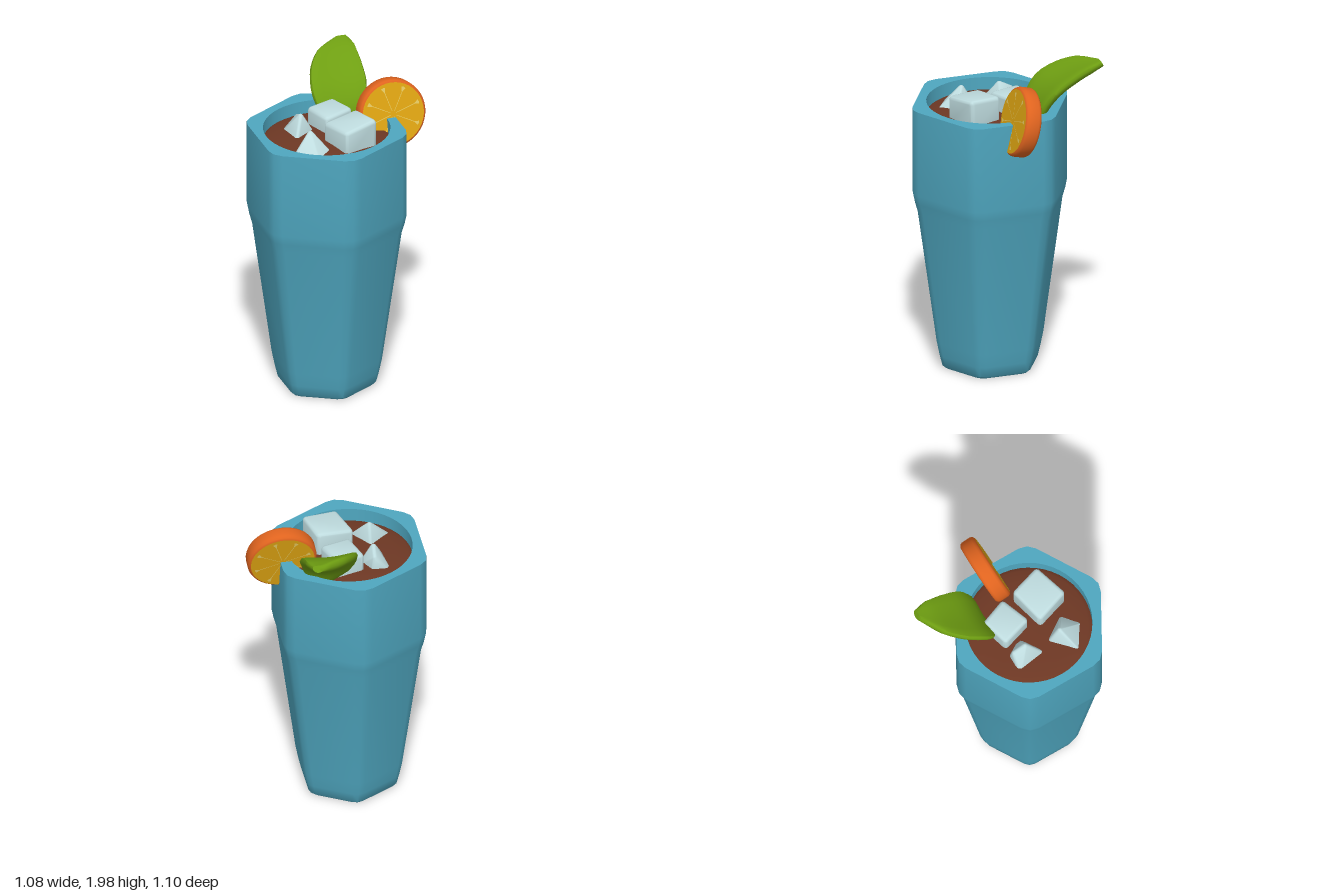
import * as THREE from 'three';
import { toCreasedNormals } from 'three/addons/utils/BufferGeometryUtils.js';
import { ConvexGeometry } from 'three/addons/geometries/ConvexGeometry.js';

const mat = (name, color, side = THREE.FrontSide) => {
  const m = new THREE.MeshStandardMaterial({ color, side });
  m.name = name;
  return m;
};

const CX = -0.1, CZ = 0.065, RIM = 1.69, INNER = 0.384;

// Skin over closed rings of Vector3, capped at both ends
function loft(rings, crease) {
  const n = rings[0].length, pos = [], idx = [];
  rings.forEach(r => r.forEach(p => pos.push(p.x, p.y, p.z)));
  const centre = ring => {
    const c = new THREE.Vector3();
    ring.forEach(p => c.addScaledVector(p, 1 / n));
    pos.push(c.x, c.y, c.z);
    return pos.length / 3 - 1;
  };
  const last = rings.length - 1;
  const c0 = centre(rings[0]), c1 = centre(rings[last]);
  for (let j = 0; j < n; j++) {
    const k = (j + 1) % n;
    for (let i = 0; i < last; i++) {
      const a = i * n + j, b = i * n + k;
      idx.push(a, b, a + n, b, b + n, a + n);
    }
    idx.push(c0, k, j, c1, last * n + j, last * n + k);
  }
  const g = new THREE.BufferGeometry();
  g.setAttribute('position', new THREE.Float32BufferAttribute(pos, 3));
  g.setIndex(idx);
  return toCreasedNormals(g, crease);
}

// Convex block with rounded corners
function roundedHull(corners, r) {
  const ball = new THREE.IcosahedronGeometry(r, 1).getAttribute('position');
  const pts = [];
  for (const c of corners) {
    for (let i = 0; i < ball.count; i++) {
      pts.push(new THREE.Vector3().fromBufferAttribute(ball, i).add(new THREE.Vector3(...c)));
    }
  }
  return toCreasedNormals(new ConvexGeometry(pts), 0.65);
}

// Hexagon outline with bevelled corners; s = half width across the flats
function hexRing(s, y) {
  const pts = [], k = s / 0.437;
  for (let c = 0; c < 6; c++) {
    for (const [off, r] of [[-6.5, 0.478], [0, 0.49], [6.5, 0.478]]) {
      const a = THREE.MathUtils.degToRad(c * 60 + off);
      pts.push(new THREE.Vector3(Math.sin(a) * r * k, y, Math.cos(a) * r * k));
    }
  }
  return pts;
}

export function createModel() {
  const root = new THREE.Group();
  const glassMat = mat('teal glass', 0x4fa7c0, THREE.DoubleSide);
  const drinkMat = mat('brown drink', 0x6e3824);
  const iceMat = mat('pale ice', 0xbfdcdf);
  const rindMat = mat('orange rind', 0xe0641f);
  const pulpMat = mat('yellow pulp', 0xdfa512);
  const pithMat = mat('pale pith', 0xe8cb62);
  const leafMat = mat('green leaf', 0x6f9f12);

  const add = (parent, name, geo, m) => {
    const mesh = new THREE.Mesh(geo, m);
    mesh.name = name;
    parent.add(mesh);
    return mesh;
  };

  // Glass: tapered hexagonal body, flat rim with a round opening, inner wall
  const glass = new THREE.Group();
  glass.name = 'glass';
  glass.position.set(CX, 0, CZ);
  root.add(glass);
  const profile = [[0.255, 0], [0.27, 0.015], [0.285, 0.08], [0.302, 0.17],
    [0.41, 1.03], [0.426, 1.09], [0.437, 1.15], [0.437, RIM]];
  const body = loft(profile.map(([s, y]) => hexRing(s, y)), 0.7);
  // leave the top open by dropping the upper cap
  const p = body.getAttribute('position'), keep = [];
  for (let i = 0; i < p.count; i += 3) {
    const capped = [0, 1, 2].every(k => p.getY(i + k) > RIM - 0.001);
    if (!capped) keep.push(i, i + 1, i + 2);
  }
  body.setIndex(keep);
  add(glass, 'glassBody', body, glassMat);

  const rim = new THREE.Shape(hexRing(0.437, 0).map(v => new THREE.Vector2(v.x, -v.z)));
  rim.holes.push(new THREE.Path().absarc(0, 0, INNER, 0, Math.PI * 2, true));
  add(glass, 'glassRim', new THREE.ShapeGeometry(rim, 24).rotateX(-Math.PI / 2).translate(0, RIM, 0), glassMat);
  add(glass, 'innerWall', new THREE.CylinderGeometry(INNER, INNER, 0.12, 48, 1, true)
    .translate(0, RIM - 0.06, 0), glassMat);

  // Drink: very shallow dome
  const dome = [[INNER, 1.605], [0.36, 1.62], [0.28, 1.632], [0.15, 1.642], [0, 1.646]];
  add(glass, 'drink', new THREE.LatheGeometry(dome.map(d => new THREE.Vector2(...d)), 48), drinkMat);

  // Ice: two upright cubes and two with a corner poking out
  const cube = top => top.concat(top.map(([x, , z]) => [x, 1.6, z]));
  const ice = [
    cube([[-0.112, 1.735, 0.138], [0.075, 1.76, 0.093], [0.122, 1.77, 0.255], [-0.055, 1.745, 0.313]]),
    cube([[-0.13, 1.725, -0.115], [0.01, 1.735, -0.152], [0.06, 1.735, -0.02], [-0.085, 1.725, 0.035]]),
    [[-0.23, 1.735, -0.04], [-0.225, 1.7, -0.11], [-0.31, 1.6, -0.12], [-0.21, 1.6, -0.12],
      [-0.155, 1.6, -0.03], [-0.29, 1.6, 0.055]],
    [[-0.25, 1.732, 0.195], [-0.245, 1.6, 0.118], [-0.372, 1.6, 0.25], [-0.143, 1.6, 0.27],
      [-0.24, 1.6, 0.342]],
  ];
  ice.forEach((c, i) => add(root, 'iceCube' + (i + 1), roundedHull(c, i < 2 ? 0.025 : 0.018), iceMat));

  // Orange slice on the rim
  const slice = new THREE.Group();
  slice.name = 'orangeSlice';
  slice.position.set(0.325, 1.7, 0.015);
  slice.rotation.x = -0.23;
  root.add(slice);
  const R = 0.212, H = 0.05;
  const rindProfile = [[0, -H], [0.196, -H], [0.206, -0.043], [R, -0.03],
    [R, 0.03], [0.206, 0.043], [0.196, H], [0, H]].map(d => new THREE.Vector2(...d));
  const rind = new THREE.LatheGeometry(rindProfile, 40).rotateX(Math.PI / 2);
  add(slice, 'rind', toCreasedNormals(rind, 0.7), rindMat);
  for (const turn of [0, Math.PI]) {
    const face = new THREE.Group();
    face.name = turn ? 'backFace' : 'frontFace';
    face.rotation.y = turn;
    slice.add(face);
    add(face, 'pulp', new THREE.CircleGeometry(0.195, 40).translate(0, 0, H + 0.002), pulpMat);
    // pith between the segments, widening at the outer ends
    for (let i = 0; i < 8; i++) {
      const s = new THREE.Shape([[0.02, -0.0015], [0.145, -0.002], [0.172, -0.014],
        [0.176, 0], [0.172, 0.014], [0.145, 0.002], [0.02, 0.0015]].map(q => new THREE.Vector2(...q)));
      const g = new THREE.ShapeGeometry(s).rotateZ((i + 0.4) * Math.PI / 4).translate(0, 0, H + 0.004);
      add(face, 'pith', g, pithMat);
    }
  }

  // Leaf: cupped cross-sections along a backward curving spine
  const V = (x, y, z) => new THREE.Vector3(x, y, z);
  const spine = new THREE.CatmullRomCurve3([V(0.12, 1.6, -0.16), V(0.075, 1.69, -0.19), V(0.08, 1.79, -0.26),
    V(0.1, 1.865, -0.36), V(0.14, 1.925, -0.46), V(0.2, 1.965, -0.54)]);
  const size = new THREE.CatmullRomCurve3([V(0.06, 0.03, 0), V(0.15, 0.042, 0), V(0.178, 0.043, 0),
    V(0.162, 0.042, 0), V(0.12, 0.038, 0), V(0.035, 0.022, 0)]);
  const rings = [];
  for (let i = 0; i <= 15; i++) {
    const t = i / 15, c = spine.getPoint(t), { x: w, y: h } = size.getPoint(t);
    const d = spine.getTangent(t);
    const n = V(0, -d.z, d.y).normalize();
    const ring = [];
    for (let j = 0; j < 20; j++) {
      const a = j / 20 * Math.PI * 2, co = Math.cos(a), si = Math.sin(a);
      const lift = h * Math.sign(co) * Math.abs(co) ** 0.7 + 0.22 * w * si * si;
      ring.push(c.clone().addScaledVector(n, lift).add(V(w * si, 0, 0)));
    }
    rings.push(ring);
  }
  add(root, 'leaf', loft(rings, 0.9), leafMat);

  return root;
}
